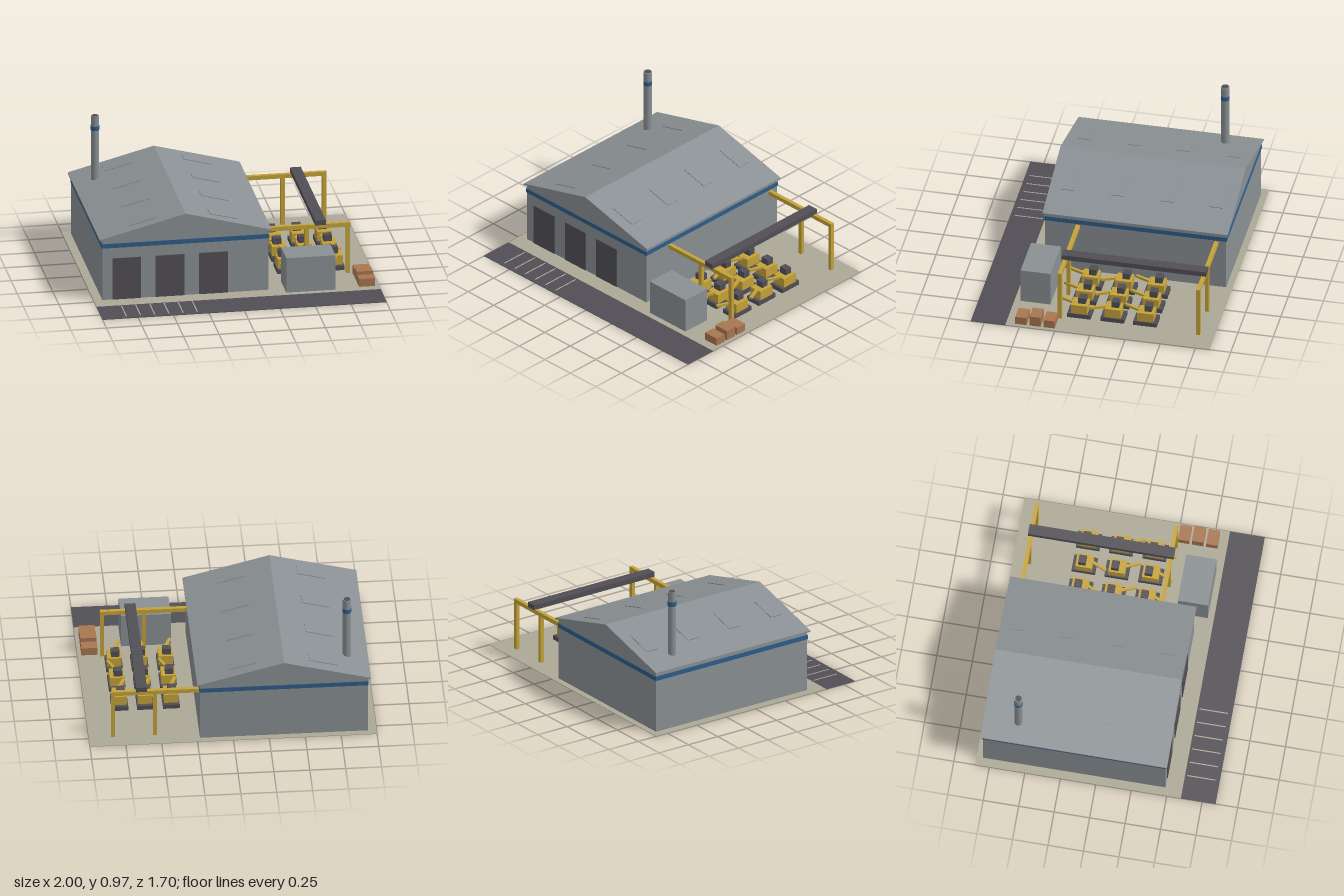
import * as THREE from 'three';

const mat = (name, color) => Object.assign(new THREE.MeshStandardMaterial({ color }), { name });

export function createModel() {
  const grey = mat('steel grey', 0x8a9093);
  const dark = mat('charcoal', 0x514f55);
  const tan = mat('concrete', 0xaca896);
  const yellow = mat('safety yellow', 0xc5a33a);
  const blue = mat('trim blue', 0x2f5d8a);
  const brown = mat('crate brown', 0xa87650);

  const model = new THREE.Group();
  model.name = 'factory';
  const group = (name) => {
    const g = new THREE.Group();
    g.name = name;
    model.add(g);
    return g;
  };
  const add = (parent, name, geometry, material) => {
    const m = new THREE.Mesh(geometry, material);
    m.name = name;
    parent.add(m);
    return m;
  };
  // Box given by its limits on each axis
  const box = (parent, name, material, x0, x1, y0, y1, z0, z1) => {
    const m = add(parent, name, new THREE.BoxGeometry(x1 - x0, y1 - y0, z1 - z0), material);
    m.position.set((x0 + x1) / 2, (y0 + y1) / 2, (z0 + z1) / 2);
    return m;
  };
  // Front profile extruded from z0 to z1
  const prism = (parent, name, material, points, z0, z1) => {
    const shape = new THREE.Shape(points.map(([x, y]) => new THREE.Vector2(x, y)));
    const geometry = new THREE.ExtrudeGeometry(shape, { depth: z1 - z0, bevelEnabled: false });
    add(parent, name, geometry, material).position.z = z0;
  };

  // Yard, road and parking lines
  const site = group('site');
  box(site, 'yard', tan, -1, 1, 0, 0.004, -0.85, 0.6);
  box(site, 'road', dark, -1, 1, 0, 0.004, 0.6, 0.845);
  for (let i = 0; i < 6; i++) {
    const x = -0.828 + i * 0.1;
    box(site, 'parkingLine', tan, x - 0.004, x + 0.004, 0.004, 0.006, 0.615, 0.815);
  }

  // Main hall with gable roof
  const hall = group('hall');
  const ridgeX = -0.355, ridgeY = 0.615, slope = 0.262;
  const roofY = (x) => ridgeY - Math.abs(x - ridgeX) * slope;
  const L = -0.94, R = 0.23, B = -0.805, F = 0.48;
  prism(hall, 'walls', grey,
    [[L, 0.003], [R, 0.003], [R, roofY(R) - 0.008], [ridgeX, ridgeY - 0.008], [L, roofY(L) - 0.008]], B, F);
  const e0 = -0.96, e1 = 0.25, t = 0.011;
  prism(hall, 'roof', grey,
    [[e0, roofY(e0) - t], [ridgeX, ridgeY - t], [e1, roofY(e1) - t],
      [e1, roofY(e1)], [ridgeX, ridgeY], [e0, roofY(e0)]], -0.82, 0.495);
  box(hall, 'trimBand', blue, L - 0.004, R + 0.004, 0.388, 0.42, B - 0.004, F + 0.004);
  for (const x of [-0.87, -0.565, -0.26]) {
    box(hall, 'loadingDoor', dark, x, x + 0.203, 0.004, 0.31, F, F + 0.005);
  }

  // Skylight plates on both slopes
  for (const side of [-1, 1]) {
    for (const z of [0.365, 0.013, -0.34, -0.69]) {
      const x = ridgeX + side * 0.28;
      const s = add(hall, 'skylight', new THREE.BoxGeometry(0.2, 0.008, 0.092), grey);
      s.position.set(x, roofY(x) + 0.001, z);
      s.rotation.z = -side * Math.atan(slope);
    }
  }

  // Chimney with painted ring and dark mouth
  const chimney = group('chimney');
  chimney.position.set(-0.811, 0, -0.578);
  const cylinder = (name, material, r, y0, y1) => {
    const g = new THREE.CylinderGeometry(r, r, y1 - y0, 12);
    add(chimney, name, g, material).position.y = (y0 + y1) / 2;
  };
  cylinder('stack', grey, 0.029, 0.4, 0.963);
  cylinder('stackRing', blue, 0.031, 0.858, 0.89);
  cylinder('stackMouth', dark, 0.022, 0.955, 0.966);

  // Crane frames with travelling bridge
  const crane = group('crane');
  for (const z of [0.248, -0.735]) {
    box(crane, 'runwayBeam', yellow, R, 0.845, 0.35, 0.38, z - 0.014, z + 0.014);
    for (const x of [0.538, 0.83]) {
      box(crane, 'post', yellow, x - 0.014, x + 0.014, 0.004, 0.352, z - 0.0135, z + 0.0135);
    }
  }
  box(crane, 'bridge', dark, 0.595, 0.67, 0.378, 0.415, -0.755, 0.272);

  // Small outbuilding
  box(model, 'shed', grey, 0.343, 0.69, 0.003, 0.26, 0.345, 0.557);

  // Three rows of assembly machines with swinging arms
  [[-0.352, -1], [-0.12, 1], [0.117, -1]].forEach(([z, turn]) => {
    for (const x of [0.4, 0.58, 0.758]) {
      const machine = group('machine');
      machine.position.set(x, 0, z);
      box(machine, 'base', dark, -0.058, 0.058, 0.003, 0.036, -0.083, 0.083);
      box(machine, 'body', yellow, -0.05, 0.05, 0.036, 0.104, -0.058, 0.058);
      box(machine, 'head', dark, -0.037, 0.022, 0.1, 0.15, -0.04, 0.012);
      const arm = new THREE.Group();
      arm.name = 'arm';
      arm.position.set(0.004, 0, 0.045);
      arm.rotation.y = turn * 0.4;
      box(arm, 'armBar', yellow, -0.01, 0.01, 0.09, 0.107, -0.01, 0.122);
      machine.add(arm);
    }
  });

  // Stored crates
  for (const [z, h] of [[0.296, 0.062], [0.395, 0.079], [0.495, 0.062]]) {
    box(model, 'crate', brown, 0.86, 0.973, 0.004, h, z - 0.04, z + 0.04);
  }

  return model;
}
